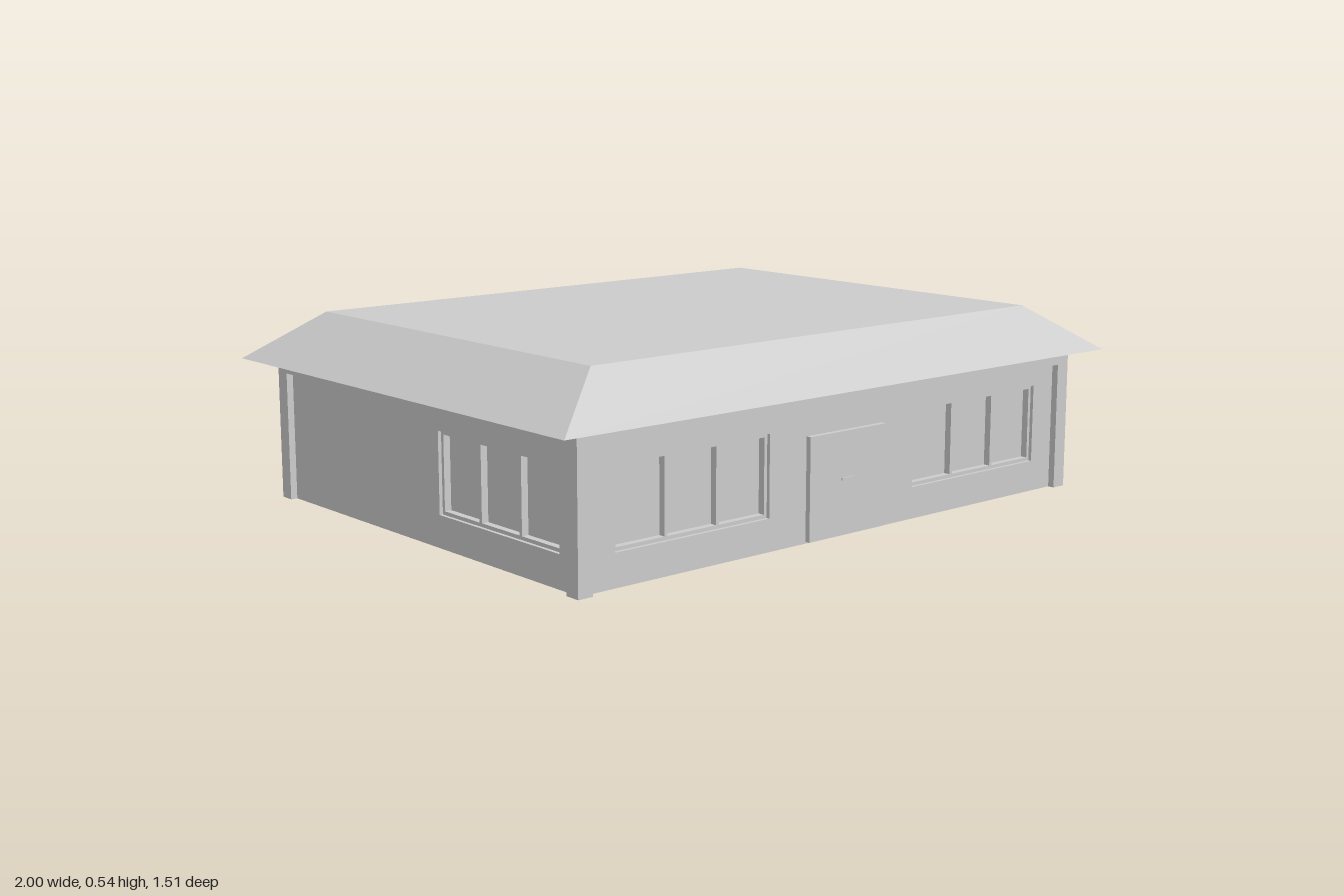
import * as THREE from 'three';

const HX = 0.917, HZ = 0.697;      // outer half sizes at the corner posts
const POST = 0.045, RECESS = 0.02; // post width, how far the walls sit back
const SLAB = 0.03;                 // wall slab in front of the window panes
const PANEL_TOP = 0.37, EAVE = 0.41, ROOF_TOP = 0.543;
const WIN = { w: 0.515, y0: 0.09, y1: 0.315 };

export function createModel() {
  const house = new THREE.Group();
  house.name = 'house';
  const grey = new THREE.MeshStandardMaterial({ color: 0xcccccc });
  grey.name = 'plain grey';

  const add = (parent, name, geometry, x = 0, y = 0, z = 0) => {
    const mesh = new THREE.Mesh(geometry, grey);
    mesh.name = name;
    mesh.position.set(x, y, z);
    parent.add(mesh);
    return mesh;
  };
  const box = (parent, name, w, h, d, x, y, z) =>
    add(parent, name, new THREE.BoxGeometry(w, h, d), x, y, z);

  // Solid core; its faces are the panes behind the window openings
  const coreX = HX - RECESS - SLAB, coreZ = HZ - RECESS - SLAB;
  box(house, 'core', 2 * coreX, EAVE, 2 * coreZ, 0, EAVE / 2, 0);

  // Wall slab with window openings, thin frames and mullions, facing local +z
  function wall(name, halfWidth, distance, angle, windows) {
    const group = new THREE.Group();
    group.name = name;
    const shape = new THREE.Shape();
    shape.moveTo(-halfWidth, 0).lineTo(halfWidth, 0);
    shape.lineTo(halfWidth, PANEL_TOP).lineTo(-halfWidth, PANEL_TOP).closePath();
    const h = WIN.y1 - WIN.y0, yc = (WIN.y0 + WIN.y1) / 2, bar = 0.01;
    for (const c of windows) {
      const a = c - WIN.w / 2, b = c + WIN.w / 2;
      const hole = new THREE.Path();
      hole.moveTo(a, WIN.y0).lineTo(a, WIN.y1);
      hole.lineTo(b, WIN.y1).lineTo(b, WIN.y0).closePath();
      shape.holes.push(hole);
      const depth = 0.02, z = distance + depth / 2;
      for (const y of [WIN.y0 + bar / 2, WIN.y1 - bar / 2])
        box(group, 'windowRail', WIN.w, bar, depth, c, y, z);
      for (const s of [-1, 1])
        box(group, 'windowStile', bar, h, depth, c + s * (WIN.w - bar) / 2, yc, z);
      for (const s of [-1, 1])
        box(group, 'windowMullion', bar, h, depth, c + s * WIN.w / 6, yc, z);
    }
    add(group, 'wallPanel',
      new THREE.ExtrudeGeometry(shape, { depth: SLAB, bevelEnabled: false }), 0, 0, distance);
    group.rotation.y = angle;
    house.add(group);
  }
  const sideWin = 0.3425;
  wall('frontWall', HX - POST, coreZ, 0, [-0.53, 0.53]);
  wall('backWall', HX - POST, coreZ, Math.PI, []);
  wall('leftWall', HZ - POST, coreX, Math.PI / 2, [-sideWin]);
  wall('rightWall', HZ - POST, coreX, -Math.PI / 2, [sideWin]);

  // Corner posts and the beam under the eaves
  for (const sx of [-1, 1]) for (const sz of [-1, 1])
    box(house, 'cornerPost', POST, PANEL_TOP, POST,
      sx * (HX - POST / 2), PANEL_TOP / 2, sz * (HZ - POST / 2));
  box(house, 'beam', 2 * HX, EAVE - PANEL_TOP, 2 * HZ, 0, (EAVE + PANEL_TOP) / 2, 0);

  // Door, slightly proud of the wall, with a small handle slot
  const wallZ = HZ - RECESS;
  box(house, 'door', 0.285, 0.285, 0.03, 0.0025, 0.1475, wallZ);
  box(house, 'doorHandle', 0.05, 0.006, 0.004, 0.0025, 0.16, wallZ + 0.016);

  // Hipped roof with a flat top: a box whose upper corners move inwards
  const roof = new THREE.BoxGeometry(2, ROOF_TOP - EAVE, 1.514);
  const p = roof.attributes.position;
  for (let i = 0; i < p.count; i++) {
    if (p.getY(i) > 0) {
      p.setX(i, Math.sign(p.getX(i)) * 0.805);
      p.setZ(i, Math.sign(p.getZ(i)) * 0.61);
    }
  }
  roof.computeVertexNormals();
  add(house, 'roof', roof, 0, (EAVE + ROOF_TOP) / 2, 0);

  return house;
}
